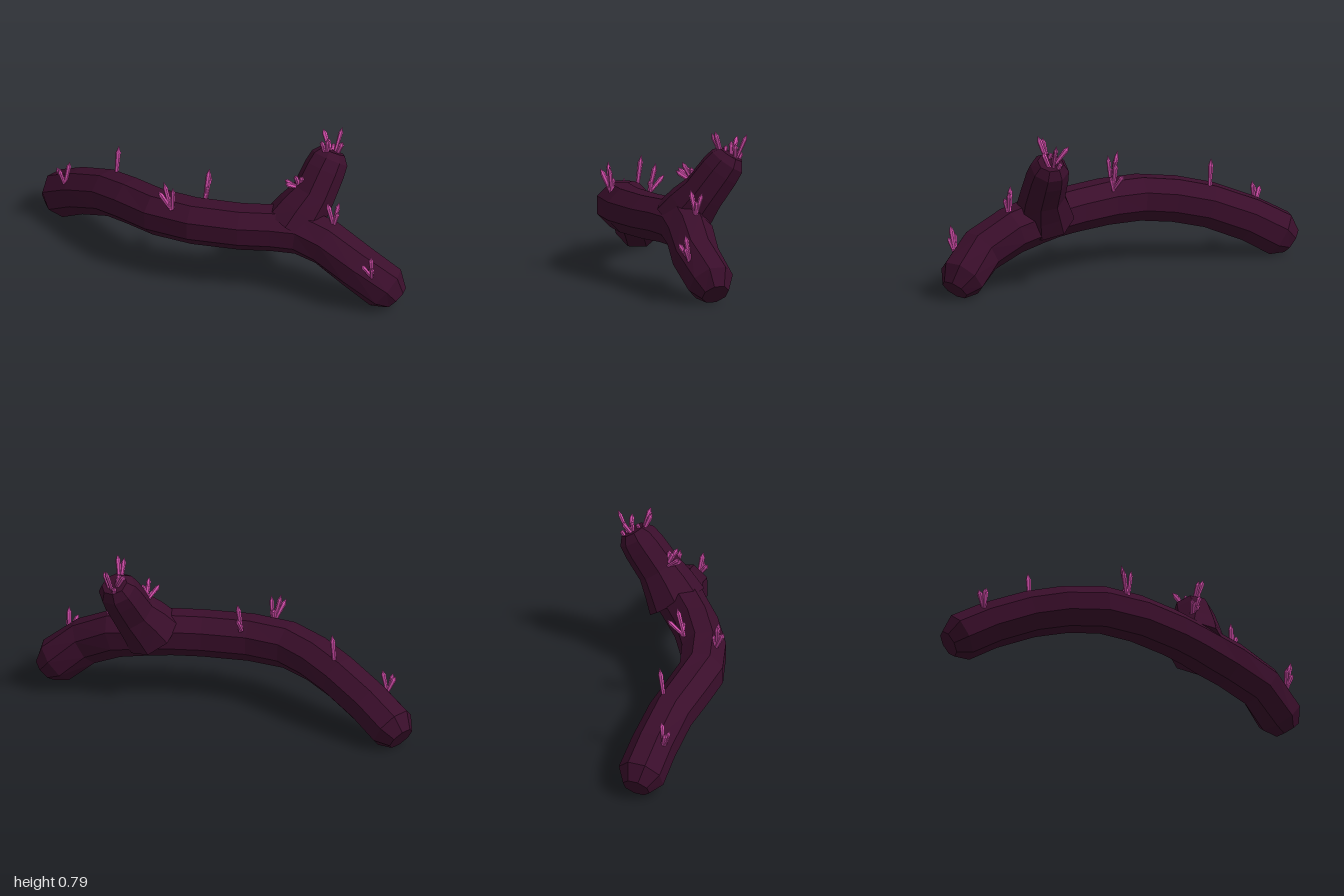
import * as THREE from 'three';

const SIDES = 8;
const barkMaterial = new THREE.MeshStandardMaterial({ color: 0x3a0e2b, flatShading: true, roughness: 0.9 });
const crystalMaterial = new THREE.MeshStandardMaterial({ color: 0xd94fb0, flatShading: true, roughness: 0.6 });

// Faceted limb swept through rings of [x, y, z, radius], closed at both ends
function limb(name, rings, hint) {
  const centres = rings.map(([x, y, z]) => new THREE.Vector3(x, y, z));
  const positions = [];
  const index = [];
  rings.forEach(([, , , radius], i) => {
    const before = centres[Math.max(i - 1, 0)];
    const after = centres[Math.min(i + 1, rings.length - 1)];
    const tangent = after.clone().sub(before).normalize();
    const up = hint.clone().addScaledVector(tangent, -hint.dot(tangent)).normalize();
    const side = tangent.clone().cross(up);
    for (let j = 0; j < SIDES; j++) {
      const a = ((j + 0.5) / SIDES) * Math.PI * 2;
      const p = centres[i].clone()
        .addScaledVector(side, Math.cos(a) * radius)
        .addScaledVector(up, Math.sin(a) * radius);
      positions.push(p.x, p.y, p.z);
    }
  });
  const last = (rings.length - 1) * SIDES;
  const startCentre = rings.length * SIDES;
  positions.push(...centres[0].toArray(), ...centres[rings.length - 1].toArray());
  for (let j = 0; j < SIDES; j++) {
    const k = (j + 1) % SIDES;
    for (let r = 0; r < last; r += SIDES) {
      index.push(r + j, r + SIDES + j, r + k, r + k, r + SIDES + j, r + SIDES + k);
    }
    index.push(startCentre, j, k, startCentre + 1, last + k, last + j);
  }
  const geometry = new THREE.BufferGeometry();
  geometry.setAttribute('position', new THREE.Float32BufferAttribute(positions, 3));
  geometry.setIndex(index);
  geometry.computeVertexNormals();
  const mesh = new THREE.Mesh(geometry, barkMaterial);
  mesh.name = name;
  return mesh;
}

// Pointed crystal: slightly widening shaft with a faceted tip, sunk into the bark
function crystal(base, tip, radius) {
  const from = new THREE.Vector3(...base);
  const axis = new THREE.Vector3(...tip).sub(from);
  const length = axis.length();
  const profile = [[0, -0.02], [radius * 0.7, -0.02], [radius, length * 0.76], [0, length]]
    .map(([x, y]) => new THREE.Vector2(x, y));
  const mesh = new THREE.Mesh(new THREE.LatheGeometry(profile, 6), crystalMaterial);
  mesh.name = 'crystal';
  mesh.position.copy(from);
  mesh.quaternion.setFromUnitVectors(new THREE.Vector3(0, 1, 0), axis.normalize());
  return mesh;
}

// Clusters: pairs of base and tip for each crystal
const clusters = {
  rightEndCrystals: [
    [[-0.815, 0.26, 0.215], [-0.845, 0.335, 0.235]],
    [[-0.805, 0.26, 0.215], [-0.79, 0.37, 0.2]],
    [[-0.81, 0.26, 0.225], [-0.82, 0.34, 0.25]],
  ],
  loneCrystal: [[[-0.54, 0.37, 0.145], [-0.54, 0.525, 0.125]]],
  bendCrystals: [
    [[-0.085, 0.42, 0.295], [-0.12, 0.525, 0.342]],
    [[-0.08, 0.42, 0.295], [-0.115, 0.562, 0.305]],
    [[-0.07, 0.42, 0.29], [-0.06, 0.545, 0.3]],
    [[-0.08, 0.42, 0.29], [-0.085, 0.485, 0.28]],
  ],
  middleCrystals: [
    [[-0.01, 0.43, 0.105], [-0.01, 0.568, 0.073]],
    [[-0.015, 0.43, 0.095], [-0.035, 0.506, 0.03]],
    [[-0.005, 0.43, 0.1], [0.005, 0.485, 0.105]],
  ],
  forkCrystals: [
    [[0.42, 0.55, -0.08], [0.4, 0.595, -0.01]],
    [[0.425, 0.56, -0.085], [0.44, 0.645, -0.04]],
    [[0.41, 0.555, -0.08], [0.39, 0.61, -0.02]],
    [[0.425, 0.565, -0.085], [0.43, 0.62, -0.06]],
    [[0.43, 0.565, -0.09], [0.45, 0.62, -0.085]],
  ],
  leftCrystals: [
    [[0.63, 0.41, -0.1], [0.615, 0.535, -0.075]],
    [[0.635, 0.41, -0.1], [0.645, 0.523, -0.133]],
    [[0.64, 0.41, -0.1], [0.66, 0.485, -0.105]],
  ],
  leftEndCrystals: [
    [[0.905, 0.23, -0.06], [0.92, 0.357, -0.038]],
    [[0.9, 0.235, -0.055], [0.885, 0.31, -0.005]],
    [[0.91, 0.23, -0.055], [0.93, 0.295, -0.035]],
  ],
  tipCrystals: [
    [[0.49, 0.7, -0.23], [0.52, 0.81, -0.2]],
    [[0.48, 0.7, -0.225], [0.49, 0.795, -0.185]],
    [[0.48, 0.67, -0.31], [0.485, 0.79, -0.36]],
    [[0.455, 0.69, -0.29], [0.4, 0.77, -0.315]],
    [[0.47, 0.69, -0.28], [0.455, 0.75, -0.283]],
    [[0.48, 0.7, -0.25], [0.47, 0.732, -0.258]],
    [[0.5, 0.67, -0.3], [0.535, 0.75, -0.3]],
    [[0.46, 0.66, -0.32], [0.45, 0.695, -0.335]],
  ],
};

export function createModel() {
  const model = new THREE.Group();
  model.name = 'crystalBranch';

  // Long arched branch with bevelled ends
  model.add(limb('mainBranch', [
    [-0.958, 0.072, 0.115, 0.07],
    [-0.9, 0.112, 0.125, 0.119],
    [-0.75, 0.195, 0.148, 0.117],
    [-0.55, 0.275, 0.182, 0.116],
    [-0.38, 0.312, 0.222, 0.117],
    [-0.2, 0.33, 0.248, 0.118],
    [0, 0.335, 0.208, 0.118],
    [0.22, 0.338, 0.11, 0.117],
    [0.35, 0.342, 0.03, 0.117],
    [0.47, 0.338, -0.04, 0.12],
    [0.61, 0.306, -0.073, 0.12],
    [0.78, 0.226, -0.095, 0.119],
    [0.91, 0.115, -0.165, 0.118],
    [0.958, 0.063, -0.186, 0.07],
  ], new THREE.Vector3(0, 1, 0)));

  // Short upright fork, flared where it leaves the main branch
  model.add(limb('forkBranch', [
    [0.42, 0.35, -0.04, 0.15],
    [0.445, 0.425, -0.09, 0.132],
    [0.47, 0.495, -0.145, 0.112],
    [0.478, 0.605, -0.225, 0.106],
    [0.482, 0.655, -0.262, 0.097],
    [0.484, 0.688, -0.282, 0.066],
  ], new THREE.Vector3(1, 0, 0)));

  // Crystal clusters growing from the upper side
  for (const [name, shards] of Object.entries(clusters)) {
    const cluster = new THREE.Group();
    cluster.name = name;
    shards.forEach(([base, tip], i) => cluster.add(crystal(base, tip, 0.013 - 0.001 * (i % 3))));
    model.add(cluster);
  }
  return model;
}
